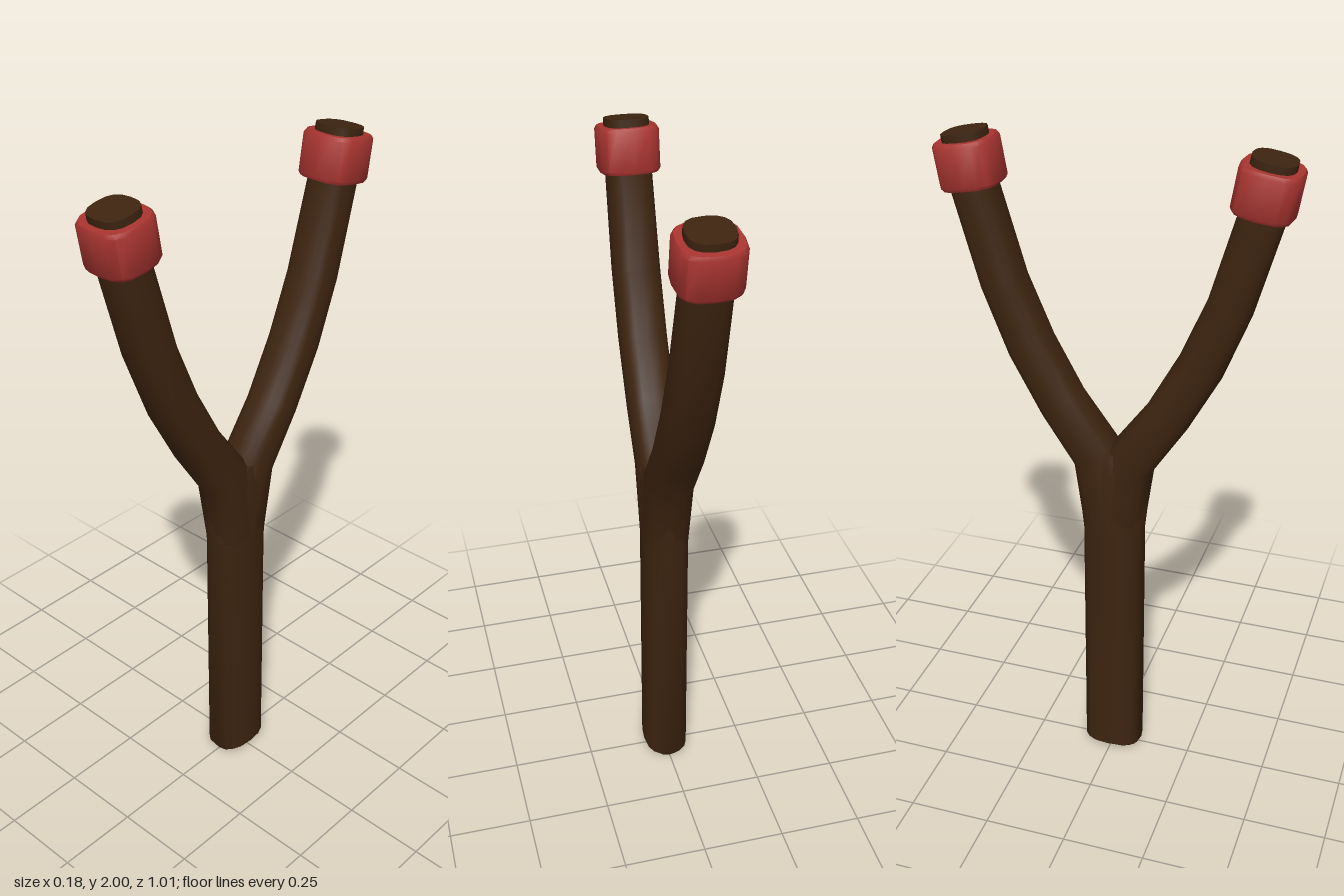
import * as THREE from 'three';
import { toCreasedNormals } from 'three/addons/utils/BufferGeometryUtils.js';

const SIDES = 16;

// Closed solid through rounded-square rings, each [outer z, outer y, inner z, inner y, half width in x]
function loft(rings, power = 2.6) {
  const pos = [], idx = [];
  const soft = v => Math.sign(v) * Math.pow(Math.abs(v), 2 / power);
  for (const [oz, oy, iz, iy, hx] of rings) {
    for (let i = 0; i < SIDES; i++) {
      const a = (i / SIDES) * Math.PI * 2;
      const s = soft(Math.sin(a)) / 2;
      pos.push(hx * soft(Math.cos(a)), (oy + iy) / 2 + s * (oy - iy), (oz + iz) / 2 + s * (oz - iz));
    }
  }
  const last = rings.length - 1;
  for (let r = 0; r < last; r++) {
    for (let i = 0; i < SIDES; i++) {
      const j = (i + 1) % SIDES, a = r * SIDES + i, b = r * SIDES + j;
      idx.push(a, a + SIDES, b, b, a + SIDES, b + SIDES);
    }
  }
  // flat ends
  for (const r of [0, last]) {
    const [oz, oy, iz, iy] = rings[r], c = pos.length / 3;
    pos.push(0, (oy + iy) / 2, (oz + iz) / 2);
    for (let i = 0; i < SIDES; i++) {
      const a = r * SIDES + i, b = r * SIDES + (i + 1) % SIDES;
      if (r === 0) idx.push(c, a, b);
      else idx.push(c, b, a);
    }
  }
  const geo = new THREE.BufferGeometry();
  geo.setAttribute('position', new THREE.Float32BufferAttribute(pos, 3));
  geo.setIndex(idx);
  return toCreasedNormals(geo, 0.75);
}

// Ring level with the ground
const level = (y, hz, hx) => [hz, y, -hz, y, hx];

export function createModel() {
  const group = new THREE.Group();
  const wood = new THREE.MeshStandardMaterial({ color: 0x3d2410 });
  const red = new THREE.MeshStandardMaterial({ color: 0xa83430 });
  const add = (parent, name, geo, mat) => {
    const mesh = new THREE.Mesh(geo, mat);
    mesh.name = name;
    parent.add(mesh);
    return mesh;
  };

  // Handle, flaring into the fork
  add(group, 'handle', loft([
    level(0, 0.078, 0.045), level(0.02, 0.092, 0.068), level(0.82, 0.092, 0.068),
    level(1.03, 0.115, 0.069), level(1.09, 0.04, 0.06),
  ]), wood);

  // Curved arm, from the handle to its tip
  const armGeo = loft([
    [0.09, 0.82, -0.09, 0.82, 0.067],
    [0.117, 1.03, 0, 1.116, 0.071],
    [0.218, 1.185, 0.1, 1.25, 0.071],
    [0.313, 1.36, 0.19, 1.414, 0.071],
    [0.39, 1.557, 0.265, 1.59, 0.07],
    [0.467, 1.83, 0.34, 1.85, 0.066],
    [0.487, 1.978, 0.366, 2.0, 0.063],
  ]);

  // Band around the arm, with slightly bevelled rims
  const bandGeo = loft([
    level(-0.064, 0.08, 0.082), level(-0.054, 0.086, 0.088),
    level(0.054, 0.086, 0.088), level(0.064, 0.08, 0.082),
  ], 3);

  for (const side of ['front', 'back']) {
    const half = new THREE.Group();
    half.name = side + 'Branch';
    add(half, side + 'Arm', armGeo, wood);
    const band = add(half, side + 'Band', bandGeo, red);
    band.position.set(0, 1.905, 0.413);
    band.rotation.x = 0.165;
    if (side === 'back') half.rotation.y = Math.PI;
    group.add(half);
  }
  return group;
}
